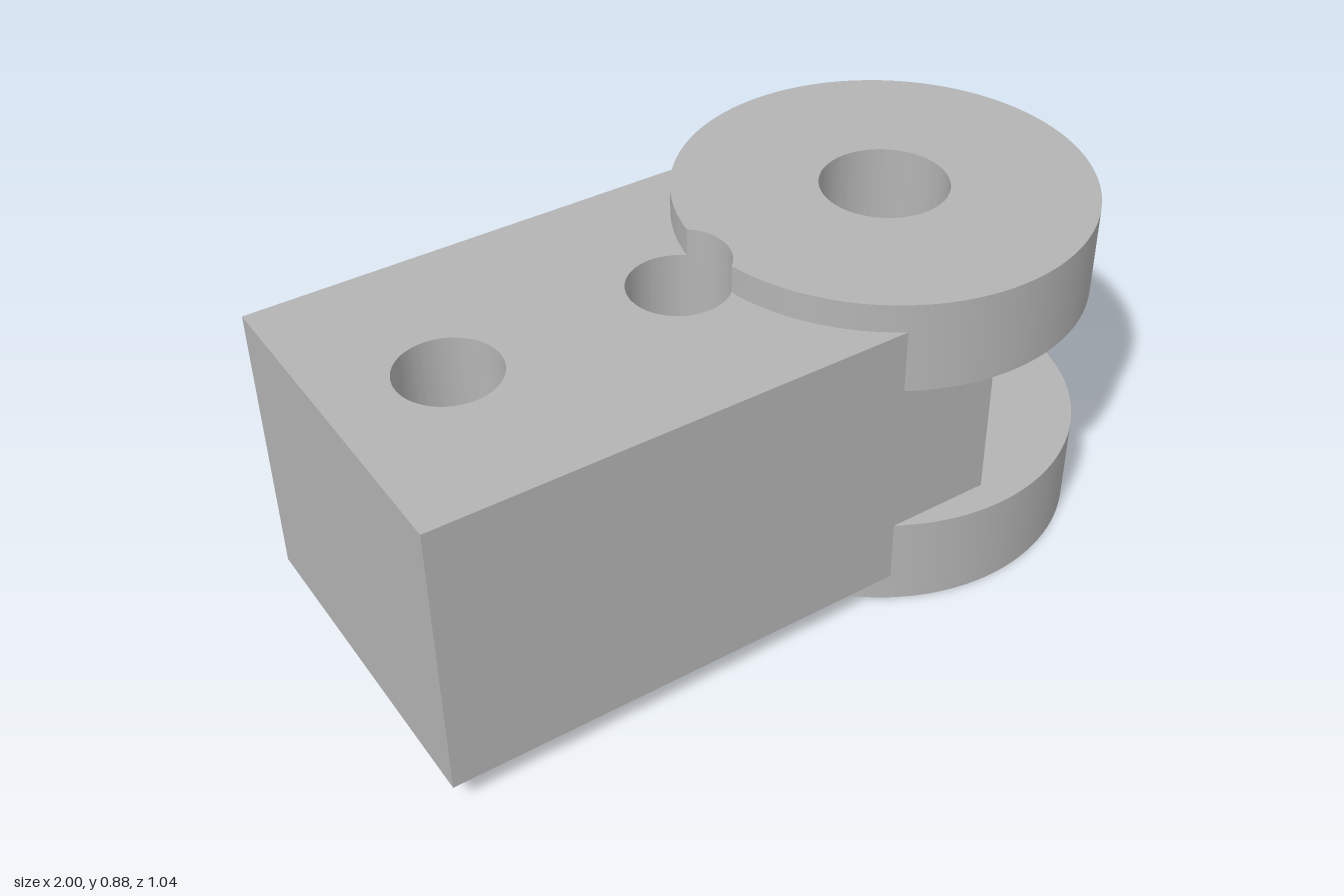
import * as THREE from 'three';
import { toCreasedNormals } from 'three/addons/utils/BufferGeometryUtils.js';

const PIVOT_X = 0.48, DISC_R = 0.52, BORE_R = 0.16;
const BOLT_R = 0.125, BOLT_XS = [-0.71, -0.115];

// Extrude a plan-view shape upwards from y = bottom to y = top.
function plate(shape, bottom, top) {
  const geo = new THREE.ExtrudeGeometry(shape, {
    depth: top - bottom, bevelEnabled: false, curveSegments: 64,
  });
  geo.rotateX(-Math.PI / 2).translate(0, bottom, 0);
  return toCreasedNormals(geo, 0.5);
}

function circleHole(x, r) {
  return new THREE.Path().absarc(x, 0, r, 0, Math.PI * 2, true);
}

// Rectangular body with two bolt holes and half of the pivot bore in its end.
function blockShape() {
  const w = 0.443, s = new THREE.Shape();
  s.moveTo(-1, -w);
  s.lineTo(PIVOT_X, -w);
  s.lineTo(PIVOT_X, -BORE_R);
  s.absarc(PIVOT_X, 0, BORE_R, -Math.PI / 2, Math.PI / 2, true);
  s.lineTo(PIVOT_X, w);
  s.lineTo(-1, w);
  s.closePath();
  BOLT_XS.forEach((x) => s.holes.push(circleHole(x, BOLT_R)));
  return s;
}

// Round cheek with a centre bore, bitten by the nearer bolt hole.
function cheekShape() {
  const hx = BOLT_XS[1], d = PIVOT_X - hx;
  const a = (d * d + DISC_R ** 2 - BOLT_R ** 2) / (2 * d);
  const h = Math.sqrt(DISC_R ** 2 - a * a);
  const rim = Math.PI - Math.atan2(h, a);
  const bite = Math.atan2(h, d - a);
  const s = new THREE.Shape();
  s.absarc(PIVOT_X, 0, DISC_R, -rim, rim, false);
  s.absarc(hx, 0, BOLT_R, bite, -bite, true);
  s.closePath();
  s.holes.push(circleHole(PIVOT_X, BORE_R));
  return s;
}

export function createModel() {
  const group = new THREE.Group();
  group.name = 'clevisBracket';
  const steel = new THREE.MeshStandardMaterial({ color: 0xb4b4b4 });
  steel.name = 'grey metal';

  const add = (name, geo) => {
    const mesh = new THREE.Mesh(geo, steel);
    mesh.name = name;
    group.add(mesh);
  };
  add('block', plate(blockShape(), 0.073, 0.812));
  add('lowerCheek', plate(cheekShape(), 0, 0.238));
  add('upperCheek', plate(cheekShape(), 0.647, 0.885));
  return group;
}
